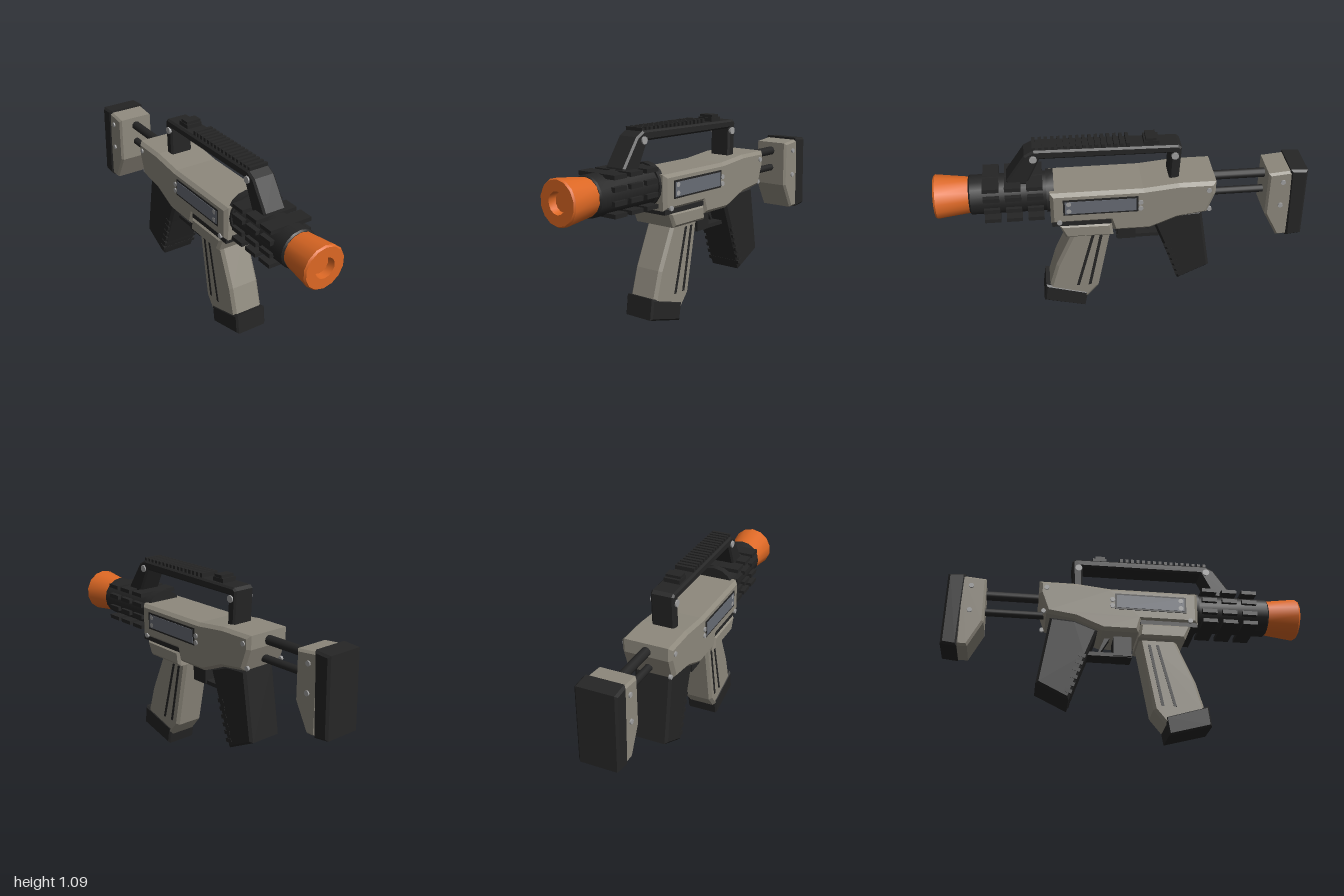
import * as THREE from 'three';
import { toCreasedNormals } from 'three/addons/utils/BufferGeometryUtils.js';

const mat = (name, color) => new THREE.MeshStandardMaterial({ name, color });

export function createModel() {
  const model = new THREE.Group();
  model.name = 'toyBlaster';
  const grey = mat('warmGrey', 0x8e897d);
  const black = mat('black', 0x252525);
  const orange = mat('orange', 0xdd6824);
  const panelBlue = mat('panelBlueGrey', 0x686c75);
  const steel = mat('screwSteel', 0xa0a0a0);

  const add = (name, geometry, material, x = 0, y = 0, z = 0) => {
    const mesh = new THREE.Mesh(geometry, material);
    mesh.name = name;
    mesh.position.set(x, y, z);
    model.add(mesh);
    return mesh;
  };
  const box = (name, m, w, h, d, x, y, z) => add(name, new THREE.BoxGeometry(w, h, d), m, x, y, z);

  // Side profile of [z, y] points, extruded across x with chamfered edges
  const slab = (name, m, points, halfWidth, bevel, x = 0) => {
    const shape = new THREE.Shape(points.map(([z, y]) => new THREE.Vector2(z, y)));
    const depth = 2 * (halfWidth - bevel);
    const g = new THREE.ExtrudeGeometry(shape, {
      depth, bevelEnabled: bevel > 0, bevelSegments: 1,
      bevelSize: bevel, bevelThickness: bevel, bevelOffset: -bevel,
    });
    g.translate(0, 0, -depth / 2);
    g.rotateY(-Math.PI / 2);
    return add(name, g, m, x);
  };

  // Profile of [radius, z] points turned around the barrel axis
  const turned = (name, m, points, y, sides) => {
    const g = new THREE.LatheGeometry(points.map(([r, z]) => new THREE.Vector2(r, z)), sides);
    g.rotateX(Math.PI / 2);
    return add(name, toCreasedNormals(g, 0.6), m, 0, y, 0);
  };

  const screw = (z, y, r, halfWidth) => {
    for (const s of [-1, 1]) {
      const g = new THREE.CylinderGeometry(r, r, 0.014, 10);
      g.rotateZ(Math.PI / 2);
      add('screw', g, steel, s * halfWidth, y, z);
    }
  };

  // Muzzle and ribbed barrel guard
  turned('muzzleTip', orange, [[0, 0.8], [0.096, 0.8], [0.12, 0.99], [0.113, 1], [0.057, 1], [0.052, 0.96], [0, 0.96]], 0.775, 14);
  turned('barrelGuard', black, [[0, 0.38], [0.108, 0.38], [0.108, 0.81], [0.1, 0.818], [0, 0.818]], 0.775, 16);
  turned('guardCollar', black, [[0, 0.37], [0.118, 0.37], [0.118, 0.41], [0, 0.41]], 0.775, 16);
  for (const z of [0.7, 0.585, 0.47]) {
    for (const y of [0.87, 0.68]) box('guardRib', black, 0.245, 0.022, 0.085, 0, y, z);
    for (const y of [0.81, 0.74]) box('guardRib', black, 0.246, 0.024, 0.085, 0, y, z);
  }

  // Main body
  slab('body', grey, [
    [0.395, 0.835], [0.395, 0.645], [0.08, 0.645], [0.06, 0.575], [-0.137, 0.575],
    [-0.2, 0.6], [-0.287, 0.637], [-0.447, 0.66], [-0.49, 0.78], [-0.49, 0.855],
    [-0.29, 0.855], [-0.1, 0.835],
  ], 0.14, 0.018);
  box('bodySeam', black, 0.262, 0.026, 0.32, 0, 0.637, 0.23);
  slab('magazineWell', grey, [[0.355, 0.63], [0.32, 0.545], [0.06, 0.545], [0.07, 0.63]], 0.14, 0.015);

  // Side windows with dark frames
  for (const s of [-1, 1]) {
    box('windowFrame', black, 0.008, 0.096, 0.4, s * 0.14, 0.751, 0.128);
    box('window', panelBlue, 0.008, 0.076, 0.38, s * 0.1425, 0.751, 0.128);
  }
  for (const [z, y] of [[0.298, 0.775], [0.298, 0.73], [-0.085, 0.76], [-0.085, 0.722], [-0.45, 0.81], [0.35, 0.657]])
    screw(z, y, 0.014, 0.14);
  screw(-0.462, 0.675, 0.013, 0.12);

  // Magazine with slots and foot
  slab('magazine', grey, [
    [0.267, 0.57], [0.38, 0.315], [0.425, 0.16], [0.42, 0.12], [0.21, 0.065], [0.145, 0.145], [0.065, 0.57],
  ], 0.09, 0.016);
  for (const s of [-1, 1]) for (const [zt, zb] of [[0.17, 0.262], [0.125, 0.195]])
    slab('magazineSlot', black, [[zt + 0.008, 0.52], [zb + 0.008, 0.165], [zb - 0.008, 0.165], [zt - 0.008, 0.52]], 0.004, 0, s * 0.089);
  slab('magazineFoot', black, [[0.445, 0.178], [0.46, 0.065], [0.225, 0.003], [0.207, 0.108]], 0.094, 0.01);

  // Pistol grip with finger ridges
  slab('grip', black, [
    [-0.16, 0.59], [-0.29, 0.64], [-0.425, 0.65], [-0.487, 0.26], [-0.31, 0.172], [-0.22, 0.43],
  ], 0.105, 0.014);
  for (let i = 0; i < 6; i++) {
    const t = i / 5;
    box('gripRidge', black, 0.214, 0.022, 0.04, 0, 0.43 - 0.21 * t, -0.245 - 0.068 * t).rotation.x = 0.3;
  }

  // Trigger and its guard
  box('triggerGuardFront', black, 0.12, 0.12, 0.1, 0, 0.52, -0.018);
  box('triggerGuardBar', black, 0.1, 0.022, 0.27, 0, 0.468, -0.1);
  slab('trigger', black, [[-0.085, 0.58], [-0.115, 0.58], [-0.15, 0.49], [-0.138, 0.49]], 0.025, 0);

  // Carry handle with toothed top rail and sight
  slab('carryHandle', black, [
    [0.62, 0.86], [0.615, 0.89], [0.515, 1.035], [0.465, 1.062], [-0.29, 1.05], [-0.308, 1.035],
    [-0.298, 0.84], [-0.245, 0.84], [-0.25, 1.005], [0.435, 1.01], [0.5, 0.88], [0.5, 0.86],
  ], 0.065, 0.01);
  for (let i = 0; i < 16; i++)
    box('railTooth', black, 0.11, 0.03, 0.018, 0, 1.062, 0.462 - i * 0.0325);
  box('sightBase', black, 0.09, 0.03, 0.08, 0, 1.06, -0.15);
  box('sight', black, 0.085, 0.04, 0.055, 0, 1.07, -0.147);
  screw(0.468, 1.015, 0.02, 0.066);
  screw(-0.272, 0.99, 0.02, 0.066);

  // Stock on two rods
  for (const [y, r] of [[0.81, 0.026], [0.705, 0.021]]) {
    const g = new THREE.CylinderGeometry(r, r, 0.4, 12);
    g.rotateX(Math.PI / 2);
    add('stockRod', g, black, 0, y, -0.62);
  }
  slab('stock', grey, [
    [-0.78, 0.862], [-0.78, 0.6], [-0.858, 0.45], [-0.92, 0.45], [-0.92, 0.875],
  ], 0.106, 0.012);
  slab('buttPad', black, [[-0.895, 0.885], [-0.912, 0.445], [-1, 0.455], [-0.99, 0.878]], 0.112, 0.012);
  screw(-0.86, 0.81, 0.014, 0.107);
  screw(-0.86, 0.66, 0.014, 0.107);

  return model;
}
